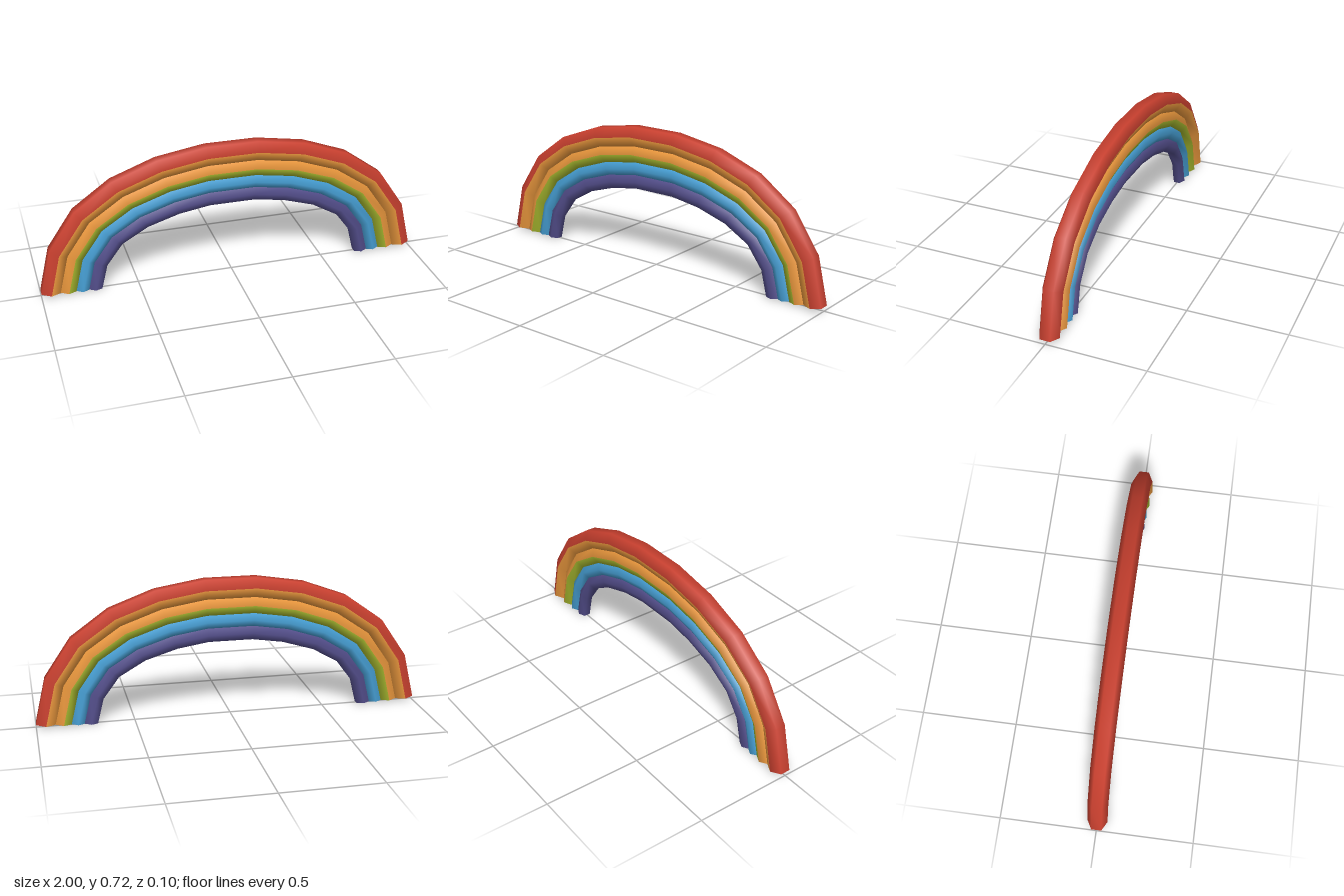
import * as THREE from 'three';

const mat = (name, color) => new THREE.MeshStandardMaterial({ name, color });

// Half of the arch, from the foot to the crown: outer and inner edge points
const OUTER = [[1, 0.02], [0.945, 0.257], [0.81, 0.457], [0.617, 0.596], [0.386, 0.682], [0.134, 0.723]];
const INNER = [[0.69, 0], [0.658, 0.13], [0.575, 0.242], [0.44, 0.32], [0.275, 0.371], [0.115, 0.396]];

const mirrored = (half) => [
  ...half.map(([x, y]) => [-x, y]),
  ...half.slice().reverse(),
];

export function createModel() {
  const red = mat('red', 0xc9402f);
  const orange = mat('orange', 0xe8963c);
  const green = mat('green', 0x9fb02c);
  const blue = mat('blue', 0x459cd0);
  const purple = mat('purple', 0x514c88);
  const white = mat('white', 0xe6e6e6);

  const outer = mirrored(OUTER);
  const inner = mirrored(INNER);
  const stations = outer.length;

  // Point on a station: t = 0 on the outer edge, 1 on the inner edge
  const point = (s, t, z) => [
    outer[s][0] + (inner[s][0] - outer[s][0]) * t,
    outer[s][1] + (inner[s][1] - outer[s][1]) * t,
    z,
  ];

  // Six-sided section between t0 and t1, widest halfway
  const ring = (s, t0, t1, w) => {
    const m = (t0 + t1) / 2;
    return [[t0, w / 2], [m, w], [t1, w / 2], [t1, -w / 2], [m, -w], [t0, -w / 2]]
      .map(([t, z]) => point(s, t, z));
  };

  const makeGeometry = (points, index) => {
    const geo = new THREE.BufferGeometry();
    geo.setAttribute('position', new THREE.Float32BufferAttribute(points.flat(), 3));
    geo.setIndex(index);
    geo.computeVertexNormals();
    return geo;
  };

  // Swept band with separate colours for its outer and inner half
  const bandGeometry = (t0, t1, w) => {
    const points = [];
    const index = [];
    for (let s = 0; s < stations; s++) points.push(...ring(s, t0, t1, w));
    for (const k of [4, 5, 0, 1, 2, 3]) {
      for (let s = 0; s < stations - 1; s++) {
        const a = s * 6 + k;
        const b = s * 6 + (k + 1) % 6;
        index.push(a, b, a + 6, a + 6, b, b + 6);
      }
    }
    const geo = makeGeometry(points, index);
    geo.addGroup(0, index.length / 2, 0);
    geo.addGroup(index.length / 2, index.length / 2, 1);
    return geo;
  };

  // Flat end of a band at one foot
  const capGeometry = (s, t0, t1, w) => {
    const index = [];
    for (let k = 1; k < 5; k++) index.push(0, ...(s === 0 ? [k + 1, k] : [k, k + 1]));
    return makeGeometry(ring(s, t0, t1, w), index);
  };

  const bands = [
    { name: 'outerBand', t: [0, 0.31], w: 0.052, mats: [red, orange] },
    { name: 'secondBand', t: [0.31, 0.57], w: 0.045, mats: [orange, green] },
    { name: 'thirdBand', t: [0.57, 0.78], w: 0.038, mats: [blue, blue] },
    { name: 'innerBand', t: [0.78, 1], w: 0.034, mats: [purple, purple] },
  ];

  const rainbow = new THREE.Group();
  rainbow.name = 'rainbow';
  for (const { name, t, w, mats } of bands) {
    const group = new THREE.Group();
    group.name = name;
    const arch = new THREE.Mesh(bandGeometry(t[0], t[1], w), mats);
    arch.name = name + 'Arch';
    group.add(arch);
    for (const [side, s] of [['right', 0], ['left', stations - 1]]) {
      const cap = new THREE.Mesh(capGeometry(s, t[0], t[1], w), white);
      cap.name = side + 'FootCap';
      group.add(cap);
    }
    rainbow.add(group);
  }
  return rainbow;
}
